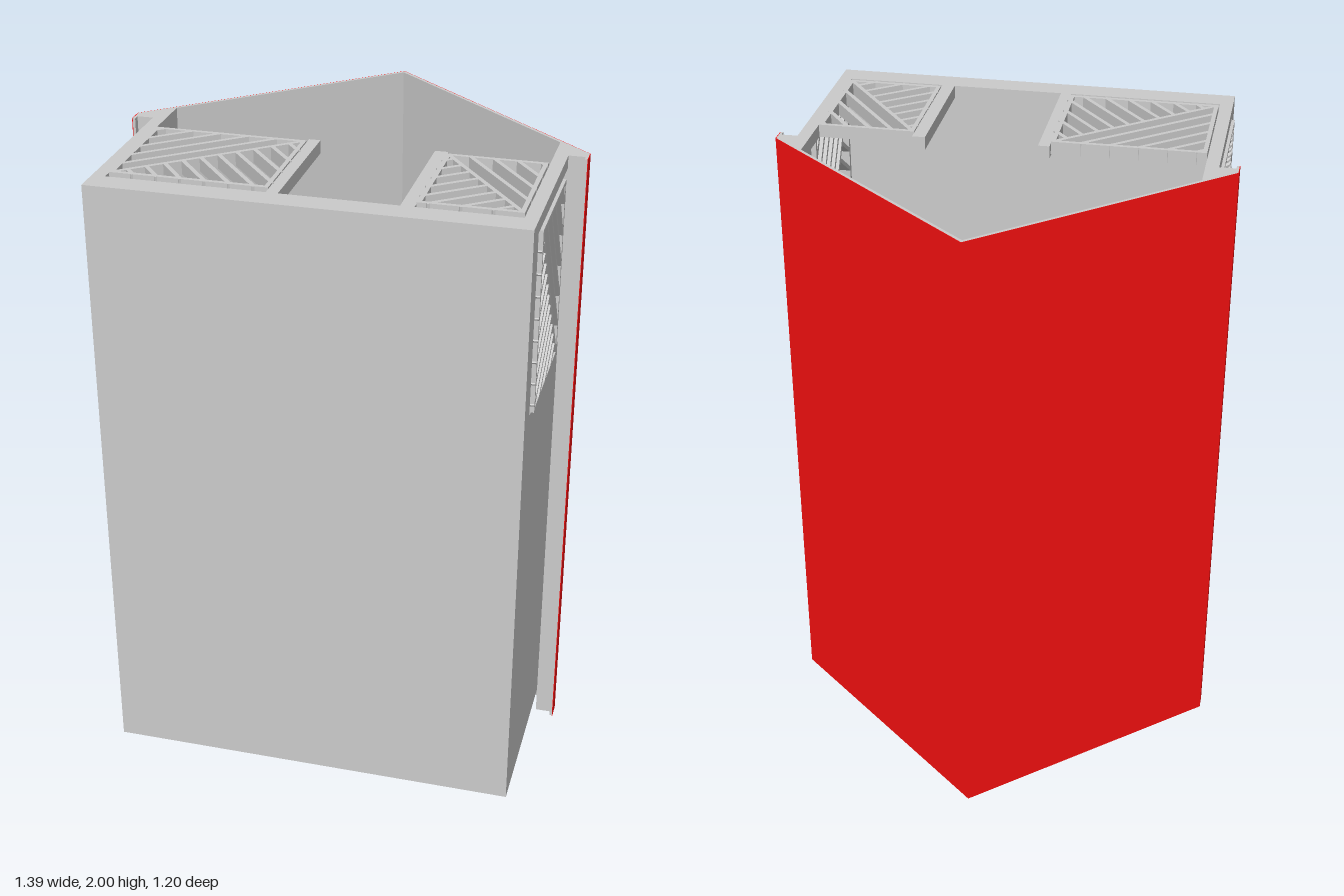
import * as THREE from 'three';

// A cabin resting on its rear gable: the ridge is at -z, the porch opens at +y.
const grey = new THREE.MeshStandardMaterial({ color: 0xcccccc });
const red = new THREE.MeshStandardMaterial({ color: 0xf81010 });
const black = new THREE.MeshStandardMaterial({ color: 0x111111 });
const glass = new THREE.MeshStandardMaterial({ color: 0xaeb0ee });

const BACK = 0.085, PORCH = 1.4, POST = 1.955, FRONT = 1.995;
const FLOOR = 0.522, EAVE = 0.03, WALL = 0.635, INNER = 0.595;
const underRoof = x => -0.585 + 0.863 * Math.abs(x);

export function createModel() {
  const model = new THREE.Group();

  function add(name, geometry, material = grey, parent = model) {
    const mesh = new THREE.Mesh(geometry, material);
    mesh.name = name;
    parent.add(mesh);
    return mesh;
  }

  // Box given by its limits on each axis
  function box(name, x0, x1, y0, y1, z0, z1, material) {
    const mesh = add(name, new THREE.BoxGeometry(x1 - x0, y1 - y0, z1 - z0), material);
    mesh.position.set((x0 + x1) / 2, (y0 + y1) / 2, (z0 + z1) / 2);
    return mesh;
  }

  // Cross-section of [x, z] points extruded from y0 to y1
  function section(name, points, y0, y1, material, hole) {
    const toVectors = list => list.map(([x, z]) => new THREE.Vector2(x, -z));
    const shape = new THREE.Shape(toVectors(points));
    if (hole) shape.holes.push(new THREE.Path(toVectors(hole)));
    const geometry = new THREE.ExtrudeGeometry(shape, { depth: y1 - y0, bevelEnabled: false });
    geometry.rotateX(-Math.PI / 2);
    geometry.translate(0, y0, 0);
    return add(name, geometry, material);
  }

  // Floor slab and the two gable walls
  box('floor', -WALL, WALL, BACK, FRONT, FLOOR, 0.6);
  const gable = [[0, underRoof(0)], [INNER, underRoof(INNER)], [INNER, FLOOR],
    [-INNER, FLOOR], [-INNER, underRoof(INNER)]];
  const rearGable = [[0, underRoof(0)], [WALL, underRoof(WALL)], [WALL, FLOOR],
    [-WALL, FLOOR], [-WALL, underRoof(WALL)]];
  section('rearWall', rearGable, BACK, BACK + 0.04);
  section('frontWall', gable, PORCH - 0.04, PORCH);

  // Roof halves, eaves, side walls and porch corner posts
  for (const s of [-1, 1]) {
    const mirror = points => points.map(([x, z]) => [s * x, z]);
    section('roofSlab', mirror([[0, -0.598], [0.693, 0], [0.693, 0.05], [0.685, 0.05],
      [0.685, EAVE], [WALL, EAVE], [WALL, underRoof(WALL)], [0, underRoof(0)]]), 0, FRONT);
    section('roofCovering', mirror([[0, -0.6], [0.695, 0], [0.695, 0.05], [0.693, 0.05],
      [0.693, 0], [0, -0.598]]), 0, FRONT, red);
    section('wallPlate', mirror([[INNER, underRoof(INNER)], [WALL, underRoof(WALL)],
      [WALL, EAVE], [INNER, EAVE]]), BACK, FRONT);
    const x0 = s > 0 ? INNER : -WALL;
    box('sideWall', x0, x0 + 0.04, BACK, PORCH, EAVE, FLOOR);
    box('cornerPost', x0, x0 + 0.04, POST, FRONT, EAVE, FLOOR);
  }

  // Short posts beside the porch entrance
  box('entrancePost', -0.125, -0.09, POST, FRONT, 0.09, FLOOR);
  box('entrancePost', 0.255, 0.295, POST, FRONT, 0.09, FLOOR);

  // Railing panel: frame, diagonal, bars along it above and across it below
  function railing(name, origin, u, w) {
    const h = 0.385, bar = 0.013, depth = 0.04, step = 0.055;
    const panel = new THREE.Group();
    panel.name = name;
    const rod = (ax, ay, bx, by) => {
      const length = Math.hypot(bx - ax, by - ay);
      if (length < 0.015) return;
      const mesh = add('railingBar', new THREE.BoxGeometry(length, bar, depth), grey, panel);
      mesh.position.set((ax + bx) / 2, (ay + by) / 2, 0);
      mesh.rotation.z = Math.atan2(by - ay, bx - ax);
    };
    const e = bar / 2;
    rod(0, e, w, e);
    rod(0, h - e, w, h - e);
    rod(e, 0, e, h);
    rod(w - e, 0, w - e, h);
    const L = Math.hypot(w, h), c = w / L, n = h / L;
    rod(e, e, w - e, h - e);
    for (let d = step; d < h * c; d += step) rod(0.004, d / c, w - d / n, h - 0.004);
    for (let t = step; t < L; t += step) {
      const length = Math.min(t * n / c, (w - t * c) / n);
      rod(t * c, t * n, t * c + n * length, t * n - c * length);
    }
    const v = new THREE.Vector3(0, 0, -1);
    panel.applyMatrix4(new THREE.Matrix4()
      .makeBasis(u, v, u.clone().cross(v)).setPosition(...origin));
    model.add(panel);
  }
  railing('frontRailing', [-0.592, 1.98, 0.5], new THREE.Vector3(1, 0, 0), 0.467);
  railing('frontRailing', [0.592, 1.98, 0.5], new THREE.Vector3(-1, 0, 0), 0.297);
  for (const s of [-1, 1])
    railing('sideRailing', [s * 0.625, POST, 0.5], new THREE.Vector3(0, -1, 0), POST - PORCH);

  // Double glazed doors in the front wall
  box('doorGlass', -0.25, 0.25, PORCH, PORCH + 0.005, -0.325, 0.515, glass);
  const doorTop = PORCH + 0.012;
  for (const s of [-1, 1]) {
    const edge = s * 0.249, stile = s * 0.0155;
    box('doorJamb', edge - 0.006, edge + 0.006, PORCH, doorTop, -0.331, FLOOR, black);
    box('doorStile', stile - 0.0145, stile + 0.0145, PORCH, doorTop, -0.331, FLOOR, black);
    box('doorHandle', s * 0.017 - 0.003, s * 0.017 + 0.003, doorTop, doorTop + 0.02, 0.075, 0.115);
  }
  for (const [z0, z1] of [[-0.331, -0.319], [0.08, 0.103], [0.51, FLOOR]])
    box('doorRail', -0.255, 0.255, PORCH, doorTop, z0, z1, black);

  // Triangular window in the rear gable
  const outer = [[-0.4, -0.14], [0.4, -0.14], [0, -0.485]];
  const inner = [[-0.346, -0.16], [0.346, -0.16], [0, -0.458]];
  section('rearWindowFrame', outer, BACK - 0.012, BACK, black, inner);
  section('rearWindowGlass', inner, BACK - 0.005, BACK, glass);

  return model;
}
